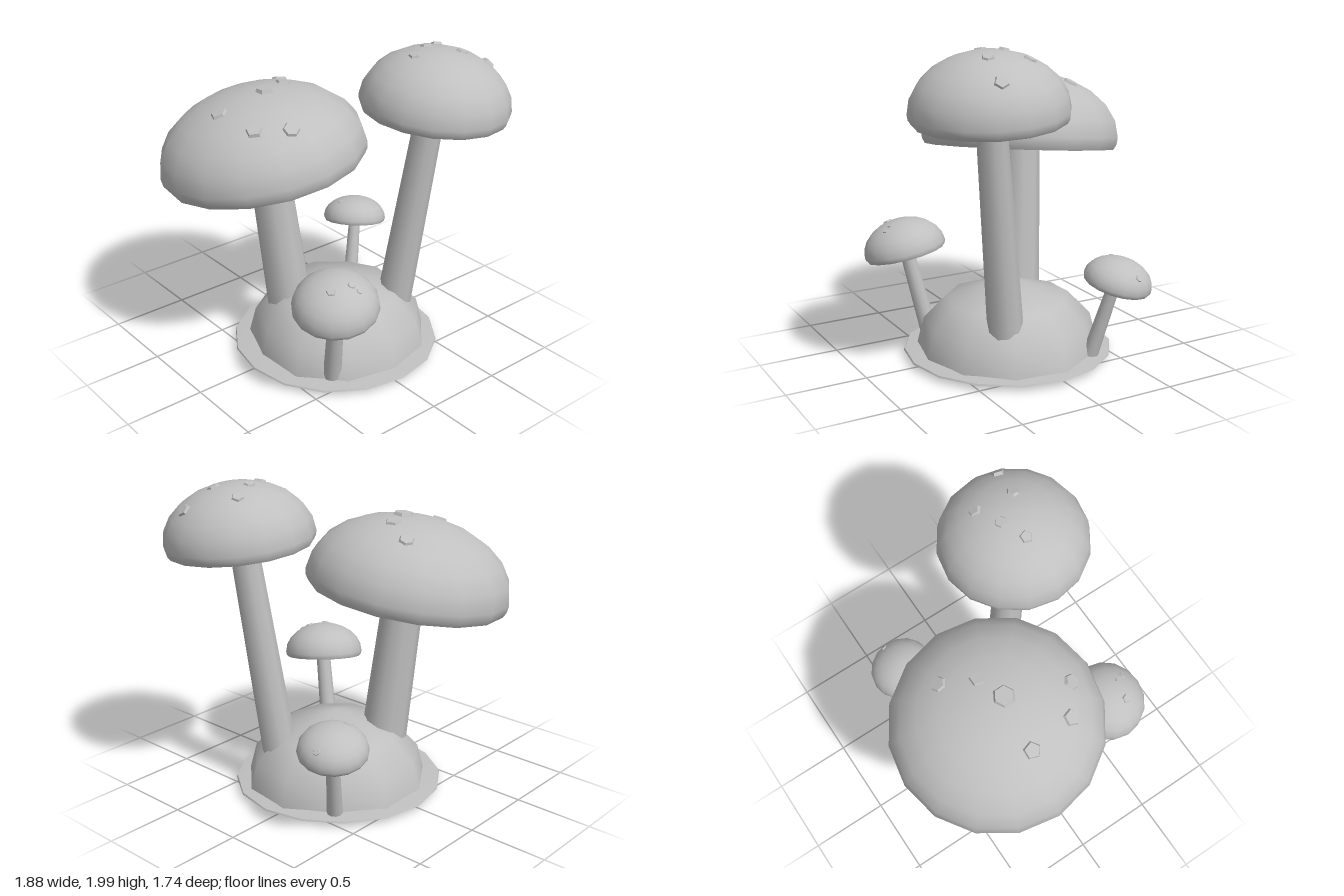
import * as THREE from 'three';
import { toCreasedNormals } from 'three/addons/utils/BufferGeometryUtils.js';

const V2 = (x, y) => new THREE.Vector2(x, y);
const V3 = (a) => new THREE.Vector3(...a);
const UP = new THREE.Vector3(0, 1, 0);

export function createModel() {
  const model = new THREE.Group();
  model.name = 'mushroomCluster';
  const grey = new THREE.MeshStandardMaterial({ color: 0xc0c0c0 });
  grey.name = 'plainGrey';

  const add = (parent, geometry, name) => {
    const mesh = new THREE.Mesh(geometry, grey);
    mesh.name = name;
    parent.add(mesh);
    return mesh;
  };

  // Tapered stem between two points, closed at both ends
  function addStem(parent, from, to, rBottom, rTop) {
    const a = V3(from), b = V3(to), dir = b.clone().sub(a);
    const stem = add(parent, new THREE.CylinderGeometry(rTop, rBottom, dir.length(), 10), 'stem');
    stem.position.copy(a).lerp(b, 0.5);
    stem.quaternion.setFromUnitVectors(UP, dir.normalize());
  }

  // Domed cap with a rolled rim and a barely bulging underside
  function addCap(parent, { centre, lean, r, h }) {
    const rim = 0.12 * r;
    const profile = [V2(0, -0.03 * r), V2(0.96 * r, 0), V2(0.99 * r, 0.05 * r)];
    for (let i = 0; i <= 6; i++) {
      const t = (i / 6) * Math.PI / 2;
      profile.push(V2(i === 6 ? 0 : r * Math.cos(t), rim + (h - rim) * Math.sin(t)));
    }
    const geometry = toCreasedNormals(new THREE.LatheGeometry(profile, 16), 0.75);
    const cap = add(parent, geometry, 'cap');
    cap.position.copy(V3(centre));
    cap.quaternion.setFromUnitVectors(UP, V3(lean).normalize());
    return cap;
  }

  // Raised five- or six-sided warts dropped onto the cap from above
  function addSpots(parent, cap, spots) {
    cap.updateMatrixWorld(true);
    const ray = new THREE.Raycaster();
    spots.forEach(([x, z, r], i) => {
      ray.set(new THREE.Vector3(x, 4, z), new THREE.Vector3(0, -1, 0));
      const hit = ray.intersectObject(cap)[0];
      if (!hit) return;
      const normal = hit.face.normal.clone().transformDirection(cap.matrixWorld);
      const disc = new THREE.CylinderGeometry(0.75 * r, r, 0.5 * r, 5 + (i % 2));
      const spot = add(parent, toCreasedNormals(disc, 0.4), 'spot');
      spot.position.copy(hit.point);
      spot.quaternion.setFromUnitVectors(UP, normal);
    });
  }

  const mushrooms = [
    {
      name: 'largeMushroom', stem: [[-0.17, 0.03, -0.13], [-0.29, 1.3, -0.23], 0.15, 0.125],
      cap: { centre: [-0.3, 1.25, -0.23], lean: [-0.125, 1, -0.11], r: 0.64, h: 0.49 },
      spots: [[-0.63, -0.22, 0.06], [-0.31, -0.19, 0.075], [-0.14, -0.25, 0.058],
        [-0.03, -0.44, 0.055], [-0.59, 0.07, 0.06], [-0.42, 0.19, 0.058]],
    },
    {
      name: 'tallMushroom', stem: [[0.335, 0.025, 0.215], [0.475, 1.66, 0.405], 0.115, 0.088],
      cap: { centre: [0.48, 1.597, 0.41], lean: [0.065, 1, 0.065], r: 0.457, h: 0.388 },
      spots: [[0.33, 0.39, 0.045], [0.48, 0.32, 0.04], [0.64, 0.25, 0.044],
        [0.61, 0.49, 0.042], [0.81, 0.52, 0.05]],
    },
    {
      name: 'smallMushroom', stem: [[-0.31, 0.03, 0.42], [-0.385, 0.66, 0.555], 0.058, 0.046],
      cap: { centre: [-0.39, 0.62, 0.55], lean: [-0.17, 1, 0.17], r: 0.26, h: 0.225 },
      spots: [[-0.49, 0.63, 0.034], [-0.365, 0.66, 0.028], [-0.345, 0.705, 0.024]],
    },
    {
      name: 'tinyMushroom', stem: [[0.44, 0.03, -0.3], [0.57, 0.56, -0.4], 0.05, 0.038],
      cap: { centre: [0.57, 0.53, -0.405], lean: [0.19, 1, -0.18], r: 0.212, h: 0.168 },
      spots: [[0.47, -0.43, 0.02], [0.745, -0.44, 0.026]],
    },
  ];
  for (const m of mushrooms) {
    const group = new THREE.Group();
    group.name = m.name;
    model.add(group);
    addStem(group, ...m.stem);
    addSpots(group, addCap(group, m.cap), m.spots);
  }

  // Lathe made irregular around its axis
  function lumpy(profile, sides, wobble, crease) {
    const geometry = new THREE.LatheGeometry(profile, sides);
    const p = geometry.attributes.position;
    for (let i = 0; i < p.count; i++) {
      const x = p.getX(i), z = p.getZ(i), a = Math.atan2(z, x);
      const k = 1 + wobble * (Math.sin(3 * a + 0.6) + 0.6 * Math.cos(5 * a));
      p.setX(i, x * k);
      p.setZ(i, z * k);
    }
    return toCreasedNormals(geometry, crease);
  }

  // Earth mound
  const mound = add(model, lumpy(
    [V2(0.575, 0.045), V2(0.53, 0.22), V2(0.385, 0.375), V2(0, 0.5)], 11, 0.025, 0.9), 'mound');
  mound.position.set(0.04, 0, 0.05);

  // Thin skirt under the mound
  const skirt = add(model, lumpy(
    [V2(0, 0.03), V2(0.4, 0.03), V2(0.66, 0.04), V2(0.655, 0.05), V2(0.5, 0.065), V2(0, 0.065)],
    16, 0.006, 0.6), 'skirt');
  skirt.position.set(0.025, 0, 0.045);

  return model;
}
